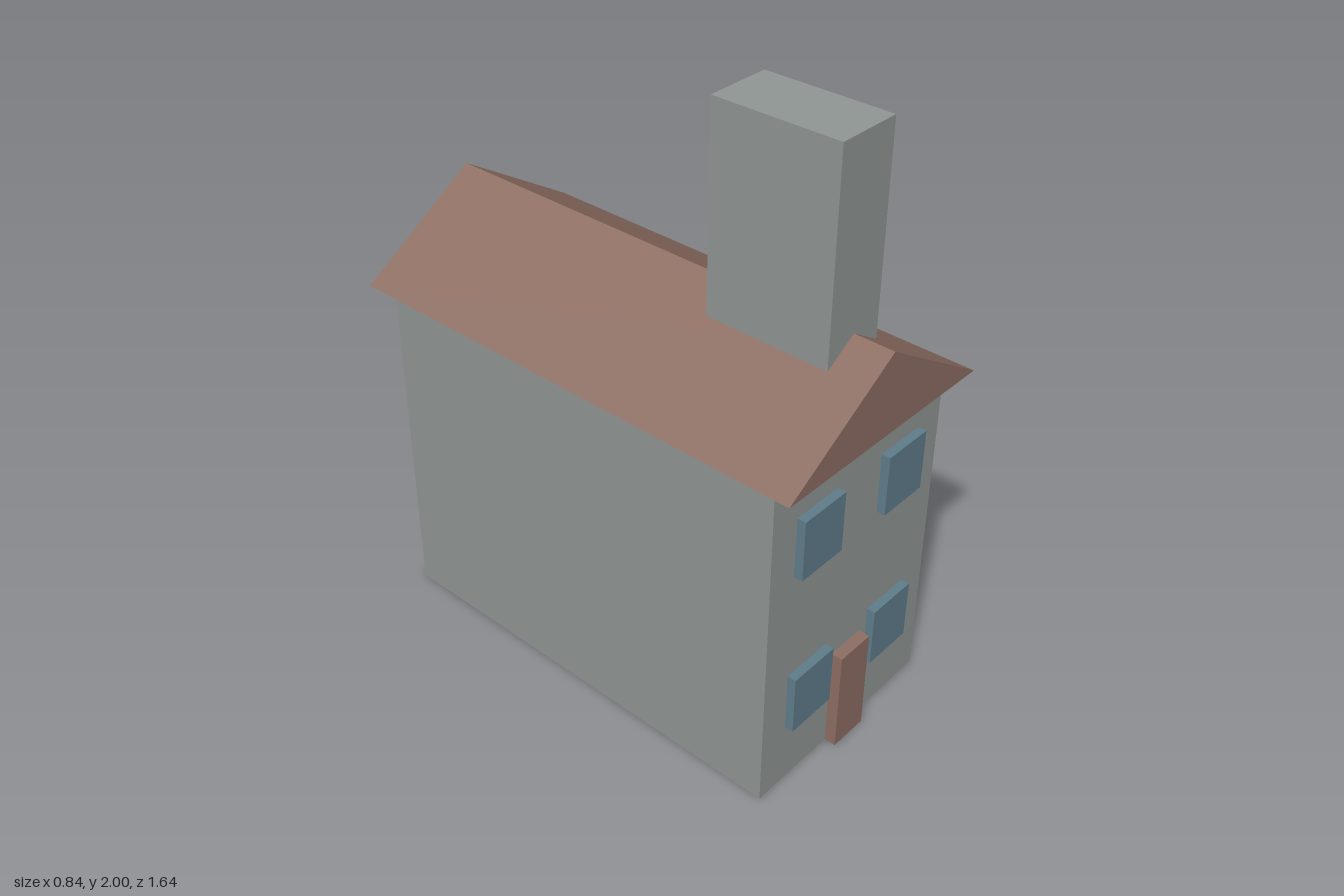
import * as THREE from 'three';

export function createModel() {
  const house = new THREE.Group();
  house.name = 'house';

  const material = (name, color) => {
    const m = new THREE.MeshStandardMaterial({ color });
    m.name = name;
    return m;
  };
  const stone = material('grey stone', 0x909693);
  const brown = material('brown', 0x8d6e63);
  const glass = material('blue glass', 0x607d8b);

  // Box given by its lower and upper corners
  const box = (name, mat, [x0, y0, z0], [x1, y1, z1]) => {
    const mesh = new THREE.Mesh(new THREE.BoxGeometry(x1 - x0, y1 - y0, z1 - z0), mat);
    mesh.position.set((x0 + x1) / 2, (y0 + y1) / 2, (z0 + z1) / 2);
    mesh.name = name;
    house.add(mesh);
  };

  box('walls', stone, [-0.385, 0, -0.745], [0.385, 1.15, 0.745]);
  box('chimney', stone, [-0.108, 1.2, 0.272], [0.108, 2, 0.688]);
  box('door', brown, [-0.068, 0, 0.74], [0.068, 0.355, 0.783]);

  // Gabled roof: a triangular prism along z
  const gable = new THREE.Shape([
    new THREE.Vector2(-0.422, 1.148),
    new THREE.Vector2(0.422, 1.148),
    new THREE.Vector2(0, 1.413),
  ]);
  const roofGeometry = new THREE.ExtrudeGeometry(gable, { depth: 1.64, bevelEnabled: false });
  roofGeometry.translate(0, 0, -0.82);
  const roof = new THREE.Mesh(roofGeometry, brown);
  roof.name = 'roof';
  house.add(roof);

  // Two storeys of paired windows on the front and back
  for (const [end, z0, z1] of [['front', 0.74, 0.773], ['back', -0.773, -0.74]]) {
    for (const [storey, y] of [['Lower', 0.215], ['Upper', 0.788]]) {
      for (const [side, x] of [['Left', 0.102], ['Right', -0.28]]) {
        box(`${end}${storey}${side}Window`, glass, [x, y, z0], [x + 0.178, y + 0.203, z1]);
      }
    }
  }

  return house;
}
